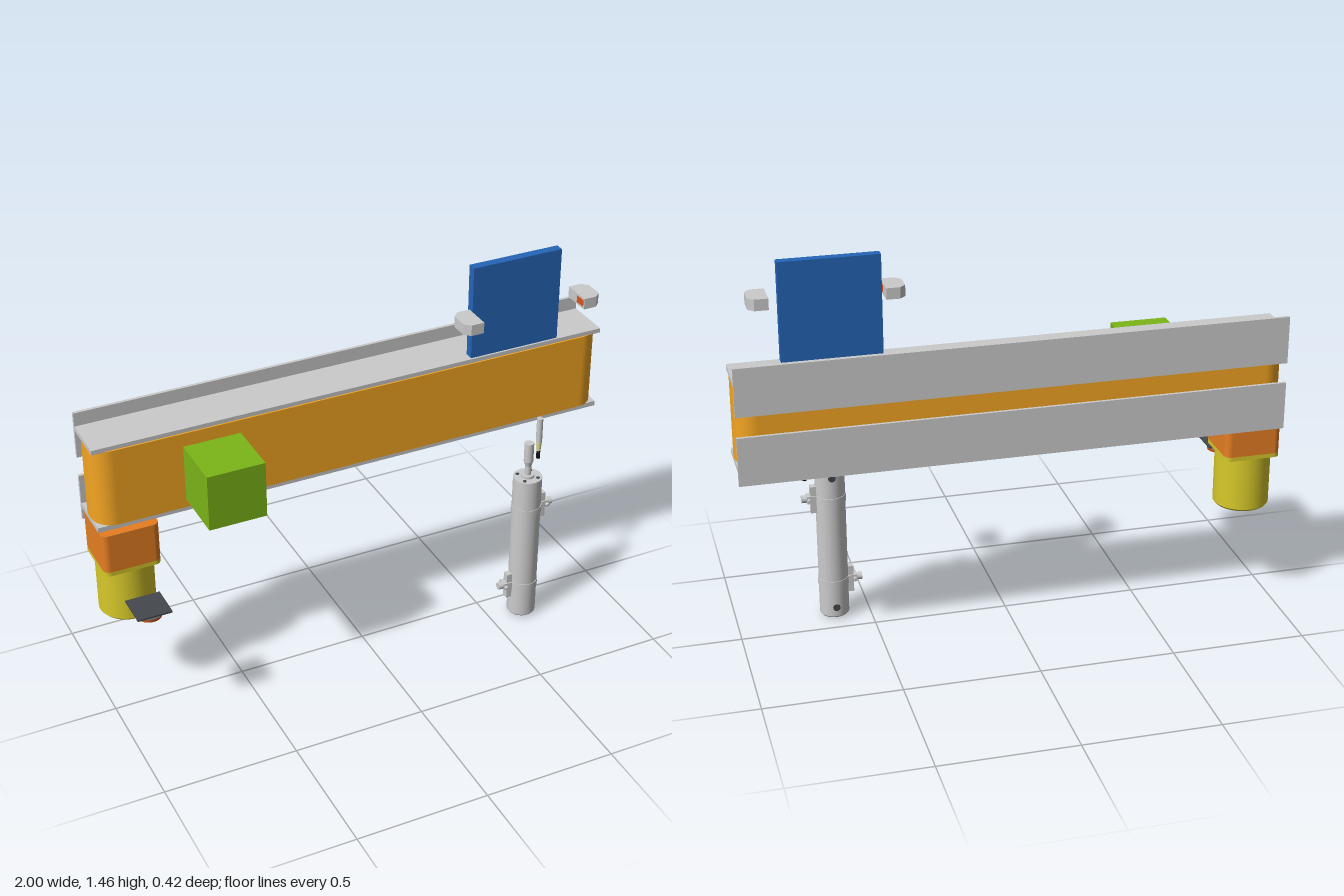
import * as THREE from 'three';

const mat = (color) => new THREE.MeshStandardMaterial({ color });
const M = {
  grey: mat(0xcccccc), belt: mat(0xf5a623), gear: mat(0xe67e22), motor: mat(0xd8c92a),
  green: mat(0x7cb518), blue: mat(0x2565b8), dark: mat(0x44484c), red: mat(0xd9541e),
  cream: mat(0xe6e2a8), black: mat(0x111111),
};

function add(parent, name, geo, material, x = 0, y = 0, z = 0) {
  const m = new THREE.Mesh(geo, material);
  m.name = name;
  m.position.set(x, y, z);
  parent.add(m);
  return m;
}

// Box given by its limits on each axis
function box(parent, name, material, [x0, x1], [y0, y1], [z0, z1]) {
  return add(parent, name, new THREE.BoxGeometry(x1 - x0, y1 - y0, z1 - z0), material,
    (x0 + x1) / 2, (y0 + y1) / 2, (z0 + z1) / 2);
}

// Upright cylinder or cone between two heights
function rod(parent, name, material, rBottom, rTop, y0, y1, x = 0, z = 0, sides = 32) {
  return add(parent, name, new THREE.CylinderGeometry(rTop, rBottom, y1 - y0, sides), material, x, (y0 + y1) / 2, z);
}

// Upright prism from a plan outline, standing on y = 0
function prism(shape, height) {
  const g = new THREE.ExtrudeGeometry(shape, { depth: height, bevelEnabled: false, curveSegments: 10 });
  return g.rotateX(-Math.PI / 2);
}

function roundedRect(w, d, r) {
  const s = new THREE.Shape(), x = w / 2, y = d / 2;
  s.absarc(x - r, y - r, r, 0, Math.PI / 2);
  s.absarc(-x + r, y - r, r, Math.PI / 2, Math.PI);
  s.absarc(-x + r, -y + r, r, Math.PI, Math.PI * 1.5);
  s.absarc(x - r, -y + r, r, Math.PI * 1.5, Math.PI * 2);
  return s;
}

function group(parent, name, x = 0, y = 0, z = 0) {
  const g = new THREE.Group();
  g.name = name;
  g.position.set(x, y, z);
  parent.add(g);
  return g;
}

// Clamp band with a switch bracket and knob pointing along +x
function clamp(parent, name, y, turn) {
  const g = group(parent, name, 0, y, 0);
  g.rotation.y = turn;
  rod(g, 'clampBand', M.grey, 0.0575, 0.0575, -0.014, 0.014);
  box(g, 'switchBody', M.grey, [0.048, 0.075], [-0.055, 0.05], [-0.013, 0.013]);
  box(g, 'clampEar', M.grey, [0.05, 0.088], [-0.014, 0.014], [-0.018, 0.018]);
  const screw = rod(g, 'clampScrew', M.grey, 0.007, 0.007, -0.03, 0.03, 0.08, 0, 16);
  screw.rotation.x = Math.PI / 2;
  screw.position.y = 0;
  const knob = rod(g, 'clampKnob', M.grey, 0.014, 0.014, -0.012, 0.012, 0.095, 0, 16);
  knob.rotation.z = Math.PI / 2;
}

export function createModel() {
  const model = new THREE.Group();
  model.name = 'beltGuideStation';

  // Upright belt with rounded ends
  add(model, 'belt', prism(roundedRect(2, 0.18, 0.075), 0.3), M.belt, 0, 0.78, -0.11);

  // Angle rails above and below the belt
  for (const [name, flat, wall] of [['upperRail', [1.078, 1.096], [0.97, 1.148]], ['lowerRail', [0.762, 0.781], [0.714, 0.894]]]) {
    const rail = group(model, name);
    box(rail, 'railFlange', M.grey, [-1, 1], flat, [-0.203, -0.026]);
    box(rail, 'railWall', M.grey, [-1, 1], wall, [-0.214, -0.202]);
  }

  // Gearbox and drive motor
  const drive = group(model, 'drive', -0.893, 0, -0.095);
  add(drive, 'gearbox', prism(roundedRect(0.213, 0.21, 0.025), 0.152), M.gear, 0, 0.61, 0);
  add(drive, 'motorFlange', prism(roundedRect(0.213, 0.21, 0.025), 0.016), M.motor, 0, 0.594, 0);
  rod(drive, 'motorBody', M.motor, 0.104, 0.104, 0.388, 0.595, 0, 0, 48);
  rod(drive, 'motorBottomEdge', M.motor, 0.097, 0.104, 0.38, 0.388, 0, 0, 48);

  // Control box and upright panel
  box(model, 'controlBox', M.green, [-0.675, -0.46], [0.815, 1.03], [-0.018, 0.2]);
  box(model, 'panel', M.blue, [0.455, 0.815], [1.097, 1.46], [-0.066, -0.032]);

  // Pair of light sensors facing each other, outer corners cut
  for (const side of [-1, 1]) {
    const sensor = group(model, side < 0 ? 'rightSensor' : 'leftSensor', side < 0 ? 0.393 : 0.876, 1.272, 0.046);
    const outline = [[-0.036, -0.055], [0.014, -0.055], [0.036, -0.033], [0.036, 0.033], [0.014, 0.055], [-0.036, 0.055]]
      .map(([x, y]) => new THREE.Vector2(x * side, y));
    add(sensor, 'sensorBody', prism(new THREE.Shape(outline), 0.042), M.grey);
    const inner = -side * 0.0362;
    box(sensor, 'sensorLens', M.red, [inner - 0.001, inner + 0.001], [0.008, 0.034], [0.005, 0.048]);
  }

  // Downward signal lamp under a square plate
  const lamp = group(model, 'lamp', -0.893, 0, 0.146);
  box(lamp, 'lampPlate', M.dark, [-0.064, 0.064], [0.524, 0.53], [-0.064, 0.064]);
  rod(lamp, 'lampHousing', M.grey, 0.048, 0.061, 0.503, 0.524);
  rod(lamp, 'lampLens', M.red, 0.045, 0.047, 0.491, 0.503);

  // Pneumatic cylinder
  const cyl = group(model, 'airCylinder', 0.634, 0, 0.113);
  rod(cyl, 'bottomBoss', M.grey, 0.025, 0.025, 0, 0.012);
  rod(cyl, 'bottomEdge', M.grey, 0.05, 0.055, 0.008, 0.014, 0, 0, 40);
  rod(cyl, 'barrel', M.grey, 0.055, 0.055, 0.014, 0.622, 0, 0, 40);
  rod(cyl, 'rodCollar', M.grey, 0.025, 0.025, 0.622, 0.632);
  rod(cyl, 'pistonRod', M.grey, 0.012, 0.012, 0.63, 0.68);
  rod(cyl, 'rodNeck', M.grey, 0.012, 0.018, 0.67, 0.69);
  rod(cyl, 'rodEnd', M.grey, 0.018, 0.018, 0.69, 0.768);
  for (let i = 0; i < 4; i++) {
    const a = Math.PI / 4 + i * Math.PI / 2;
    rod(cyl, 'capBolt', M.dark, 0.007, 0.007, 0.62, 0.624, 0.04 * Math.cos(a), 0.04 * Math.sin(a), 12);
  }
  for (const y of [0.05, 0.58]) {
    const port = rod(cyl, 'airPort', M.dark, 0.014, 0.014, y - 0.004, y + 0.004, 0, -0.052, 20);
    port.rotation.x = Math.PI / 2;
  }
  clamp(cyl, 'upperClamp', 0.485, 0);
  clamp(cyl, 'lowerClamp', 0.145, Math.PI);

  // Slim probe with a tapered tip
  const probe = group(model, 'probe', 0.742, 0, 0.004);
  rod(probe, 'probeBody', M.grey, 0.012, 0.012, 0.686, 0.787, 0, 0, 20);
  rod(probe, 'probeTaper', M.cream, 0.008, 0.012, 0.645, 0.686, 0, 0, 20);
  rod(probe, 'probeTip', M.black, 0.0075, 0.0075, 0.611, 0.646, 0, 0, 20);

  return model;
}
